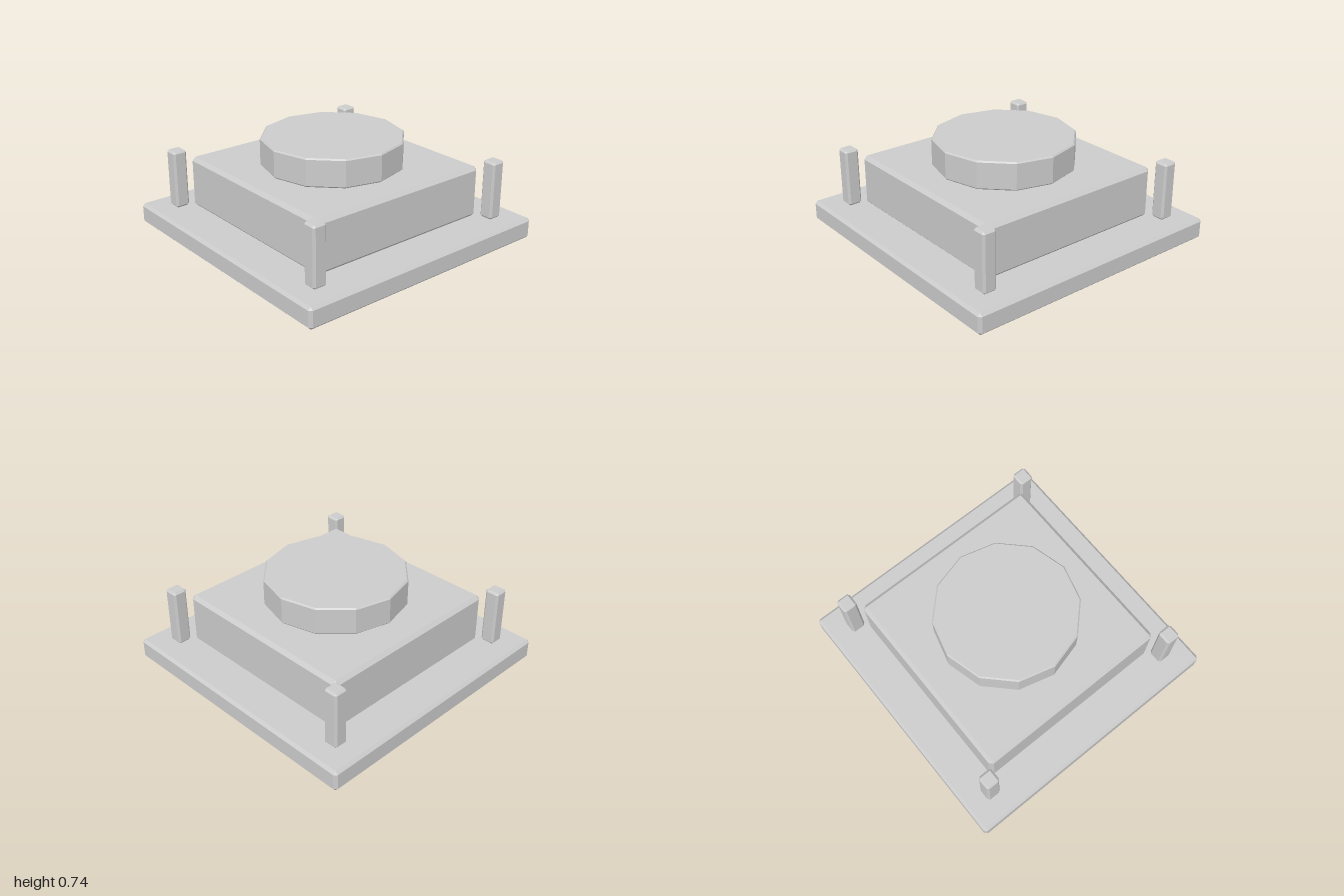
import * as THREE from 'three';
import { ConvexGeometry } from 'three/addons/geometries/ConvexGeometry.js';

const material = new THREE.MeshStandardMaterial({ color: 0xcccccc, flatShading: true });

// Box with every edge chamfered by b, standing on y = 0
function chamferedBox(w, h, d, b) {
  const points = [];
  for (const sx of [-1, 1]) for (const sy of [-1, 1]) for (const sz of [-1, 1]) {
    for (let axis = 0; axis < 3; axis++) {
      const inset = [b, b, b];
      inset[axis] = 0;
      points.push(new THREE.Vector3(
        sx * (w / 2 - inset[0]), h / 2 + sy * (h / 2 - inset[1]), sz * (d / 2 - inset[2])));
    }
  }
  return new ConvexGeometry(points);
}

// Twelve-sided disc with chamfered rims, standing on y = 0
function chamferedDisc(r, h, b) {
  const profile = [[0, 0], [r - b, 0], [r, b], [r, h - b], [r - b, h], [0, h]];
  return new THREE.LatheGeometry(profile.map(([x, y]) => new THREE.Vector2(x, y)), 12);
}

export function createModel() {
  const group = new THREE.Group();
  const add = (name, geometry, x, y, z) => {
    const mesh = new THREE.Mesh(geometry, material);
    mesh.name = name;
    mesh.position.set(x, y, z);
    group.add(mesh);
  };

  // Stacked tiers
  add('basePlate', chamferedBox(2, 0.155, 2, 0.02), 0, 0, 0);
  add('body', chamferedBox(1.45, 0.38, 1.45, 0.026), 0, 0.155, 0);
  add('topDisc', chamferedDisc(0.512, 0.205, 0.01), 0, 0.535, 0);

  // Corner posts
  const post = chamferedBox(0.106, 0.43, 0.106, 0.015);
  for (const [zName, sz] of [['front', 1], ['back', -1]]) {
    for (const [xName, sx] of [['Left', 1], ['Right', -1]]) {
      add(`${zName}${xName}Post`, post, sx * 0.795, 0.155, sz * 0.795);
    }
  }
  return group;
}
